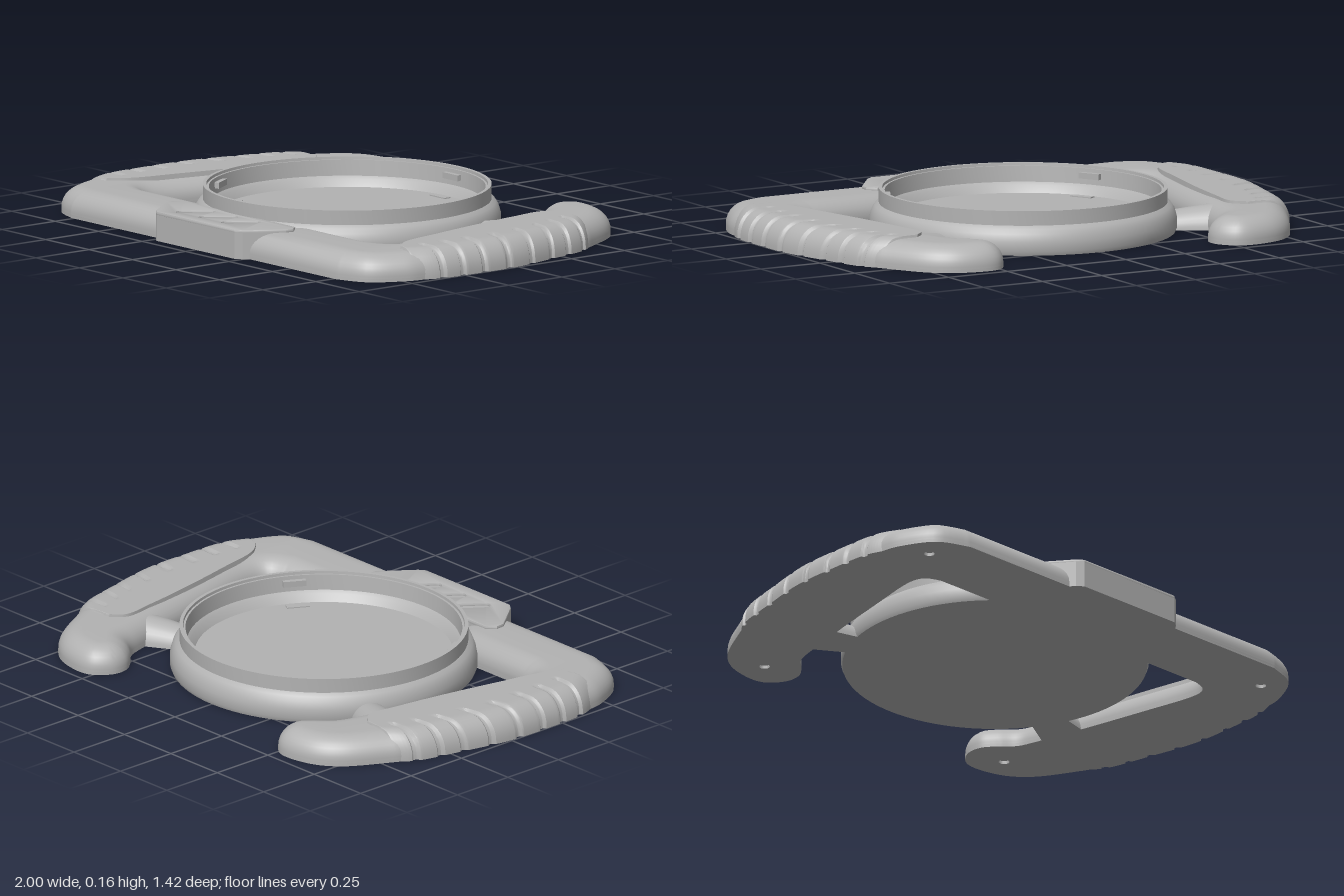
import * as THREE from 'three';
import { toCreasedNormals } from 'three/addons/utils/BufferGeometryUtils.js';

const plastic = new THREE.MeshStandardMaterial({ color: 0xb2b2b2 });
plastic.name = 'grey plastic';

const RING_Z = -0.012;
const V2 = (p) => new THREE.Vector2(p[0], -p[1]);

function add(parent, name, geometry) {
  const mesh = new THREE.Mesh(geometry, plastic);
  mesh.name = name;
  parent.add(mesh);
  return mesh;
}

// Mirrored copy across x = 0 with the corner order put right
function mirrored(source) {
  const geo = source.index ? source.toNonIndexed() : source.clone();
  geo.scale(-1, 1, 1);
  for (const attr of Object.values(geo.attributes)) {
    const n = attr.itemSize, a = attr.array;
    for (let i = 0; i < attr.count; i += 3) {
      for (let k = 0; k < n; k++) {
        const p = (i + 1) * n + k, q = (i + 2) * n + k;
        [a[p], a[q]] = [a[q], a[p]];
      }
    }
  }
  return geo;
}

function addPair(parent, name, geometry) {
  add(parent, name + 'Left', geometry);
  add(parent, name + 'Right', mirrored(geometry));
}

// Outline of one arm: front bar, outer side, horn and inner side, as x and z
function armShape() {
  const shape = new THREE.Shape();
  shape.moveTo(0.2, -0.665);
  shape.lineTo(0.76, -0.665);
  shape.splineThru([
    [0.88, 0.615], [0.95, 0.5], [0.972, 0.4], [0.98, 0.2], [0.98, 0], [0.94, -0.19],
    [0.885, -0.4], [0.85, -0.48], [0.775, -0.61], [0.69, -0.682], [0.583, -0.711],
    [0.505, -0.7], [0.455, -0.64], [0.453, -0.575], [0.49, -0.52], [0.54, -0.47],
    [0.565, -0.4], [0.595, -0.27], [0.625, -0.15], [0.674, 0.08], [0.712, 0.27],
    [0.7, 0.35], [0.64, 0.38],
  ].map(V2));
  shape.lineTo(0.3, -0.38);
  shape.lineTo(0.2, -0.44);
  return shape;
}

// Arm body: rounded above, flat below
function armGeometry() {
  const geo = new THREE.ExtrudeGeometry(armShape(), {
    depth: 0.02, bevelThickness: 0.078, bevelSize: 0.085, bevelOffset: -0.085,
    bevelSegments: 8, curveSegments: 6,
  });
  const pos = geo.attributes.position;
  for (let i = 0; i < pos.count; i++) pos.setZ(i, Math.max(pos.getZ(i), 0.012));
  geo.rotateX(-Math.PI / 2);
  return toCreasedNormals(geo, 0.6);
}

// Base layer of the arm with screw holes
function basePlateGeometry() {
  const shape = armShape();
  for (const [x, z] of [[0.6, -0.6], [0.83, 0.52]]) {
    shape.holes.push(new THREE.Path().absarc(x, -z, 0.02, 0, Math.PI * 2, true));
  }
  const geo = new THREE.ExtrudeGeometry(shape, { depth: 0.012, bevelEnabled: false, curveSegments: 6 });
  return toCreasedNormals(geo.rotateX(-Math.PI / 2), 0.6);
}

// Grip pad: cross-sections from the outer edge to the inner seam, with grooves
function gripGeometry() {
  const curve = (pts) => new THREE.CatmullRomCurve3(pts.map(([x, z]) => new THREE.Vector3(x, 0, z)));
  const outer = curve([[0.855, -0.455], [0.905, -0.39], [0.955, -0.2], [0.996, 0], [1, 0.19], [0.99, 0.36], [0.952, 0.458]]);
  const seam = curve([[0.7, -0.44], [0.655, -0.39], [0.668, -0.25], [0.7, -0.05], [0.745, 0.17], [0.79, 0.36], [0.85, 0.435]]);
  const grooves = [-0.385, -0.29, -0.195, -0.08, 0.04, 0.155, 0.255, 0.345];
  const rows = 260, arc = 8, flat = 14, r = 0.085;
  const positions = [], index = [];
  const smooth = THREE.MathUtils.smoothstep;
  const cols = arc + flat + 4;
  for (let i = 0; i <= rows; i++) {
    const t = i / rows;
    const p = outer.getPoint(t), q = seam.getPoint(t);
    const length = p.distanceTo(q);
    const dir = q.clone().sub(p).normalize();
    const sunk = 1 - smooth(Math.min(t, 1 - t), 0, 0.018);
    const near = Math.min(...grooves.map((z) => Math.abs(z - p.z)));
    const groove = 0.011 * (1 - smooth(near, 0.006, 0.016));
    const put = (s, y) => positions.push(p.x + dir.x * s, y, p.z + dir.z * s);
    const inset = groove + 0.02 * sunk;
    const top = 0.108 - 0.014 * sunk;
    put(0.07, 0);
    put(inset, 0);
    for (let j = 0; j <= arc; j++) {
      const a = (j / arc) * Math.PI / 2;
      put(inset + (r - inset) * (1 - Math.cos(a)), 0.012 + (top - groove - 0.012) * Math.sin(a));
    }
    for (let j = 1; j <= flat; j++) {
      const s = r + (Math.max(length, r + 0.01) - r) * j / flat;
      put(s, top - groove * (1 - smooth(s, 0.125, 0.145)));
    }
    put(Math.max(length, r + 0.01) + 0.003, 0.08);
  }
  for (let i = 0; i < rows; i++) {
    for (let j = 0; j < cols - 1; j++) {
      const a = i * cols + j, b = a + 1, c = a + cols, d = c + 1;
      index.push(a, b, c, b, d, c);
    }
  }
  const geo = new THREE.BufferGeometry();
  geo.setAttribute('position', new THREE.Float32BufferAttribute(positions, 3));
  geo.setIndex(index);
  return toCreasedNormals(geo, 0.6);
}

// Half-round strut between ring and arm, wider at the arm
function strutGeometry() {
  const geo = new THREE.CylinderGeometry(0.068, 0.1, 0.22, 32, 4).rotateZ(Math.PI / 2);
  const pos = geo.attributes.position;
  for (let i = 0; i < pos.count; i++) pos.setY(i, Math.max(pos.getY(i), 0) * 0.95);
  geo.rotateY(0.4).translate(0.587, 0, -0.283);
  return toCreasedNormals(geo, 0.6);
}

// Round dish with rounded foot, raised rim and sunken floor
function dishGeometry() {
  const profile = [
    [0, 0], [0.556, 0], [0.562, 0.015], [0.561, 0.05], [0.553, 0.078], [0.542, 0.095], [0.527, 0.106],
    [0.527, 0.16], [0.514, 0.16], [0.513, 0.15], [0.505, 0.15], [0.5, 0.092], [0.488, 0.082],
    [0.47, 0.056], [0, 0.056],
  ].map(([x, y]) => new THREE.Vector2(x, y));
  return toCreasedNormals(new THREE.LatheGeometry(profile, 96), 0.5);
}

// Front plaque outline
function plaqueShape() {
  const right = [[0.225, 0.703], [0.25, 0.685], [0.346, 0.56], [0.348, 0.525], [0.318, 0.495]];
  const left = right.map(([x, z]) => [-x, z]).reverse();
  return new THREE.Shape([...right, ...left].map(V2));
}

function plaqueTopGeometry() {
  const shape = plaqueShape();
  const w = 0.02, tilt = Math.atan2(0.085, 0.062);
  for (const x of [-0.135, -0.005, 0.125]) {
    const slot = new THREE.Path();
    slot.absarc(x + 0.03, -0.55, w, tilt - Math.PI / 2, tilt + Math.PI / 2, false);
    slot.absarc(x - 0.03, -0.632, w, tilt + Math.PI / 2, tilt + Math.PI * 1.5, false);
    shape.holes.push(slot);
  }
  const geo = new THREE.ExtrudeGeometry(shape, {
    depth: 0.008, bevelThickness: 0.005, bevelSize: 0.005, bevelOffset: -0.005, bevelSegments: 2, curveSegments: 8,
  });
  return toCreasedNormals(geo.rotateX(-Math.PI / 2).translate(0, 0.096, 0), 0.6);
}

export function createModel() {
  const model = new THREE.Group();
  model.name = 'steeringWheelShell';

  addPair(model, 'arm', armGeometry());
  addPair(model, 'armBase', basePlateGeometry());
  addPair(model, 'grip', gripGeometry());
  addPair(model, 'strut', strutGeometry());

  add(model, 'dish', dishGeometry()).position.z = RING_Z;

  // Three clips: a tab on the wall and a pad on the floor
  for (let i = 0; i < 3; i++) {
    const clip = new THREE.Group();
    clip.name = 'clip';
    clip.position.z = RING_Z;
    clip.rotation.y = (i * Math.PI * 2) / 3;
    add(clip, 'wallTab', new THREE.BoxGeometry(0.085, 0.022, 0.025)).position.set(0, 0.125, -0.497);
    add(clip, 'floorPad', new THREE.BoxGeometry(0.085, 0.008, 0.03)).position.set(0, 0.056, -0.438);
    model.add(clip);
  }

  // Front plaque: solid block below a slotted top
  const block = new THREE.ExtrudeGeometry(plaqueShape(), { depth: 0.098, bevelEnabled: false });
  add(model, 'plaqueBlock', block.rotateX(-Math.PI / 2));
  add(model, 'plaqueTop', plaqueTopGeometry());

  return model;
}
